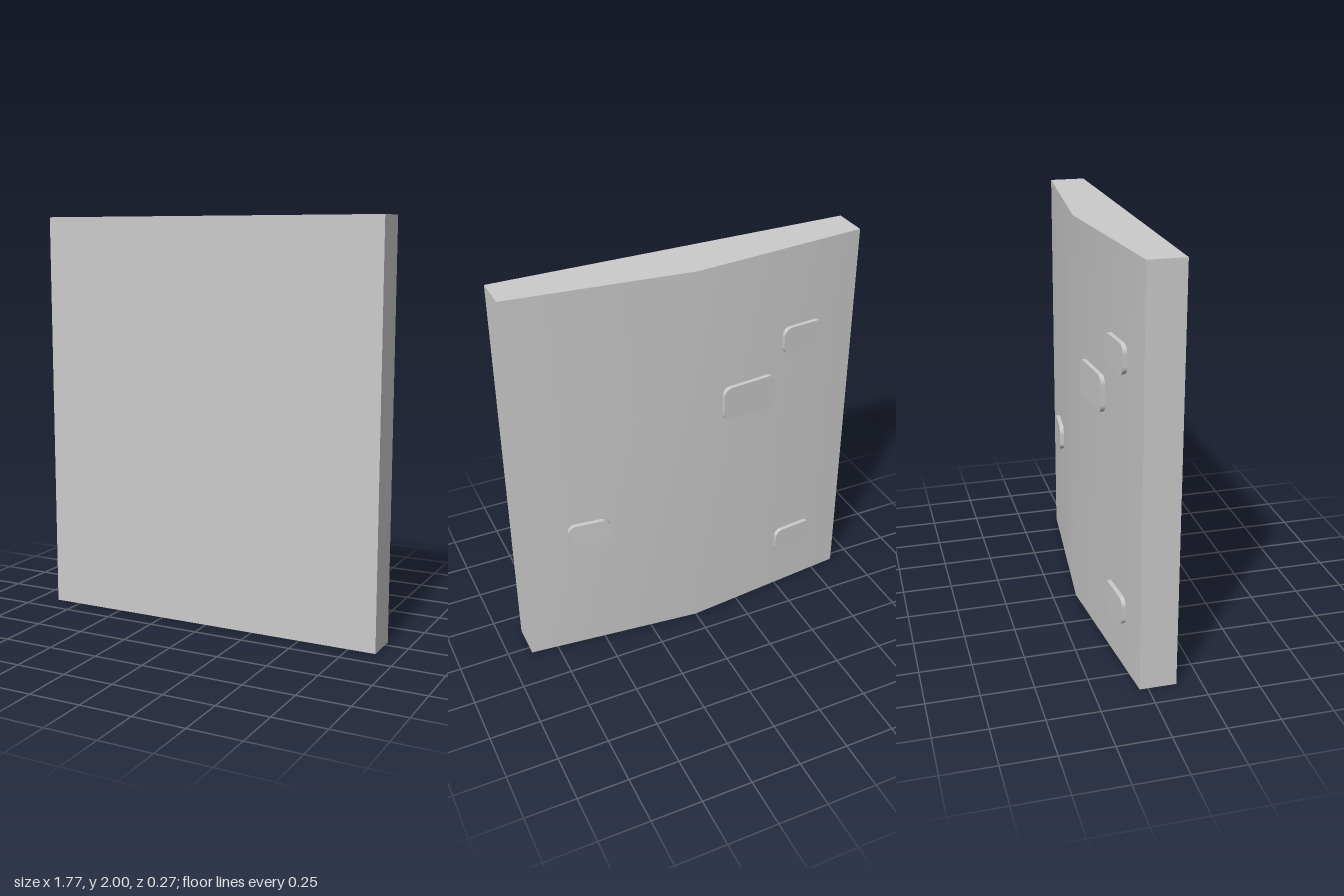
import * as THREE from 'three';

const W = 0.885, H = 2, FRONT = 0.135, EDGE = -0.04, RIDGE = -0.13;
const TILT = Math.atan((EDGE - RIDGE) / W);

const material = new THREE.MeshStandardMaterial({ color: 0xcccccc });
const shellMaterial = new THREE.MeshStandardMaterial({ color: 0xcccccc, side: THREE.DoubleSide });

function addMesh(group, name, geometry, mat = material) {
  const mesh = new THREE.Mesh(geometry, mat);
  mesh.name = name;
  group.add(mesh);
  return mesh;
}

// Upright wall along a plan path of [x, z] points, smooth across its bends
function wall(path) {
  const pos = [], index = [];
  path.forEach(([x, z], i) => {
    pos.push(x, 0, z, x, H, z);
    const a = 2 * i;
    if (i < path.length - 1) index.push(a, a + 2, a + 3, a, a + 3, a + 1);
  });
  const g = new THREE.BufferGeometry();
  g.setAttribute('position', new THREE.Float32BufferAttribute(pos, 3));
  g.setIndex(index);
  g.computeVertexNormals();
  return g;
}

// Thin plate with rounded corners
function plate(w, h, r, depth) {
  const s = new THREE.Shape();
  const x = w / 2, y = h / 2;
  s.absarc(x - r, y - r, r, 0, Math.PI / 2);
  s.absarc(-x + r, y - r, r, Math.PI / 2, Math.PI);
  s.absarc(-x + r, -y + r, r, Math.PI, Math.PI * 1.5);
  s.absarc(x - r, -y + r, r, Math.PI * 1.5, Math.PI * 2);
  return new THREE.ExtrudeGeometry(s, { depth, bevelEnabled: false, curveSegments: 4 });
}

export function createModel() {
  const model = new THREE.Group();
  model.name = 'panel';

  // Hollow body: walls run anticlockwise in plan, underside left open
  const fl = [W, FRONT], fr = [-W, FRONT], bl = [W, EDGE], br = [-W, EDGE];
  addMesh(model, 'frontPanel', wall([fr, fl]), shellMaterial);
  addMesh(model, 'leftSide', wall([fl, bl]), shellMaterial);
  addMesh(model, 'backPanel', wall([bl, [0, RIDGE], br]), shellMaterial);
  addMesh(model, 'rightSide', wall([br, fr]), shellMaterial);

  // Top cap
  const outline = [fr, fl, bl, [0, RIDGE], br].map(([x, z]) => new THREE.Vector2(x, -z));
  const cap = new THREE.ShapeGeometry(new THREE.Shape(outline));
  cap.rotateX(-Math.PI / 2).translate(0, H, 0);
  addMesh(model, 'topCap', cap, shellMaterial);

  // Raised plates on the sloping back: name, x, y, width, height
  const plates = [
    ['largePlate', -0.285, 1.27, 0.29, 0.18],
    ['upperPlate', -0.583, 1.52, 0.225, 0.14],
    ['lowerPlate', -0.595, 0.3, 0.225, 0.14],
    ['leftPlate', 0.553, 0.695, 0.21, 0.135],
  ];
  for (const [name, x, y, w, h] of plates) {
    const mesh = addMesh(model, name, plate(w, h, 0.04, 0.022));
    mesh.position.set(x, y, RIDGE + Math.abs(x) * Math.tan(TILT) + 0.001);
    mesh.rotation.y = Math.PI - Math.sign(x) * TILT;
  }
  return model;
}
